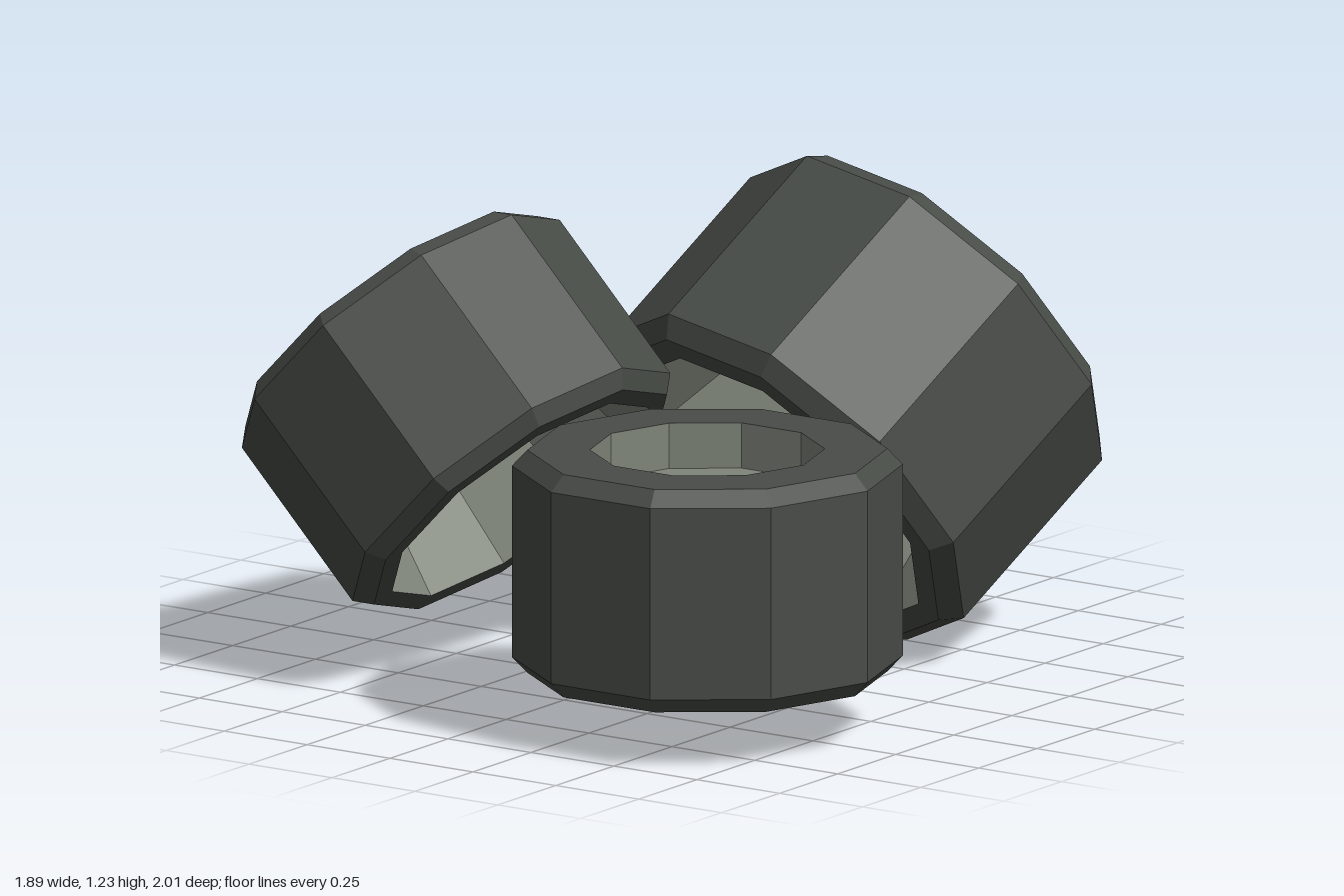
import * as THREE from 'three';

const SIDES = 10;
const tyreMaterial = new THREE.MeshStandardMaterial({ color: 0x484c47, flatShading: true });
const hubMaterial = new THREE.MeshStandardMaterial({ color: 0x7f857a, flatShading: true });

// Ten-sided revolved part with a corner on local x
function revolve(name, profile, material) {
  const points = profile.map(([r, y]) => new THREE.Vector2(r, y));
  const geometry = new THREE.LatheGeometry(points, SIDES, Math.PI / 2);
  const mesh = new THREE.Mesh(geometry, material);
  mesh.name = name;
  return mesh;
}

// axis: direction of the dished face; corner: direction of one corner of the tread
function createWheel(name, position, axis, corner, scale) {
  const wheel = new THREE.Group();
  wheel.name = name;

  // Chamfered tread and both sidewalls
  wheel.add(revolve('tyre', [
    [0.39, -0.283], [0.445, -0.283], [0.483, -0.243],
    [0.483, 0.243], [0.445, 0.283], [0.29, 0.283],
  ], tyreMaterial));

  // Shallow recess on the outer face
  wheel.add(revolve('outerHub', [[0.29, 0.283], [0.29, 0.168], [0, 0.168]], hubMaterial));

  // Deep tapered hollow on the inner face
  wheel.add(revolve('innerHub', [[0, 0.16], [0.29, 0.16], [0.39, -0.283]], hubMaterial));

  const y = new THREE.Vector3(...axis).normalize();
  const x = new THREE.Vector3(...corner);
  x.addScaledVector(y, -x.dot(y)).normalize();
  const z = new THREE.Vector3().crossVectors(x, y);
  wheel.quaternion.setFromRotationMatrix(new THREE.Matrix4().makeBasis(x, y, z));
  wheel.position.set(...position);
  wheel.scale.setScalar(scale);
  return wheel;
}

export function createModel() {
  const model = new THREE.Group();
  model.name = 'wheelPile';
  model.add(
    createWheel('flatWheel', [0.46, 0.423, 0.54], [0, 1, 0], [1, 0, 0], 1),
    createWheel('leaningWheel', [-0.44, 0.64, 0.337], [-0.72, 0.69, -0.05], [0.69, 0.72, 0], 1),
    createWheel('largeWheel', [0.228, 0.612, -0.435], [0.185, 0.58, -0.79], [-0.271, 0.805, 0.524], 1.16),
  );
  return model;
}
